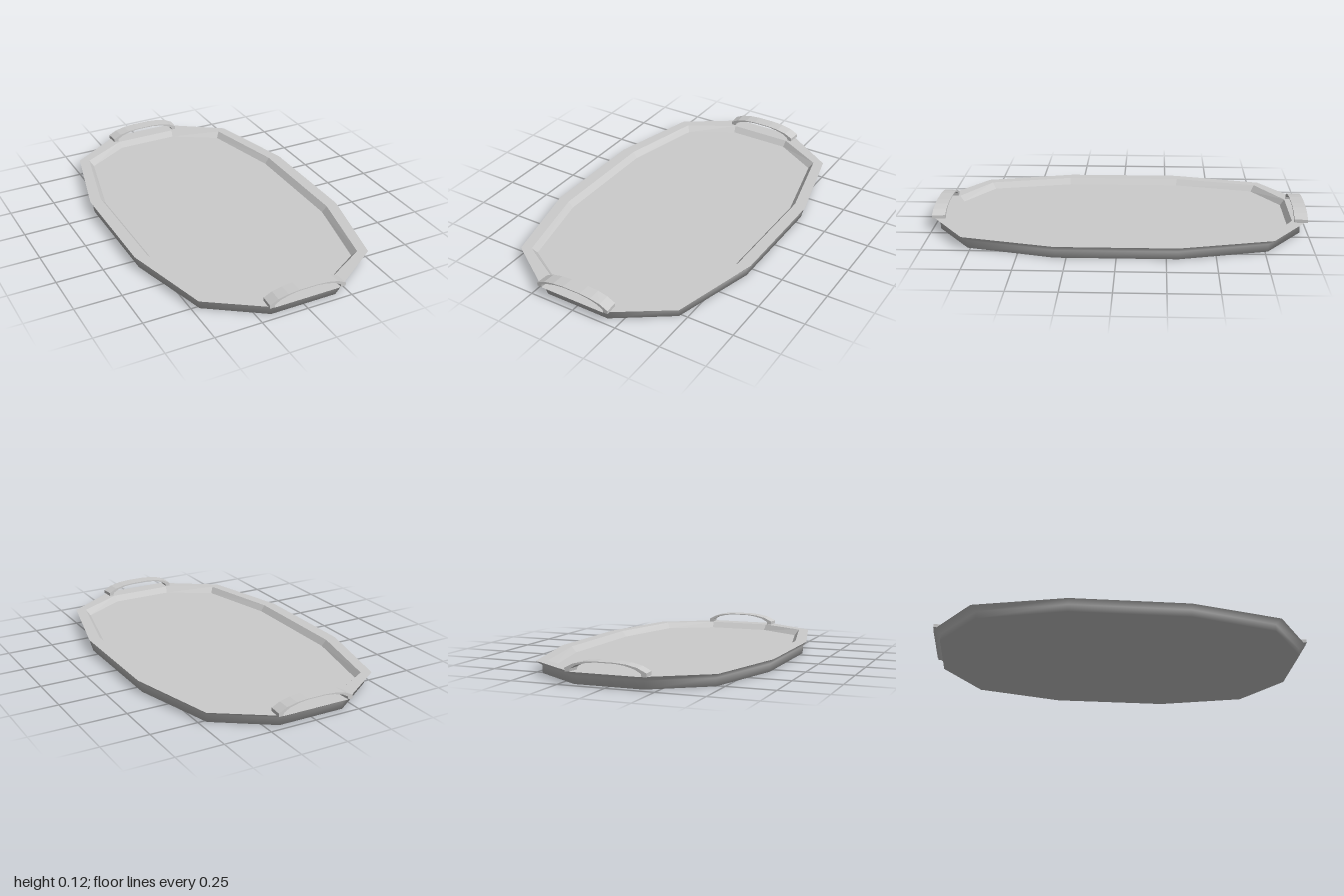
import * as THREE from 'three';

const material = new THREE.MeshStandardMaterial({ color: 0xcccccc, side: THREE.DoubleSide });

// Twelve-sided ring mirrored from three corners of one quadrant, at height y
function ring(y, [a, b, c]) {
  const quarter = [c, b, a];
  const half = [...quarter, ...[a, b, c].map(([x, z]) => [-x, z])];
  return [...half, ...half.map(([x, z]) => [-x, -z])].map(([x, z]) => [x, y, z]);
}

// Skin through a list of rings; one end is closed by a fan to the centre
function loft(rings, capFirst) {
  const n = rings[0].length;
  const positions = rings.flat(2);
  const index = [];
  for (let r = 0; r < rings.length - 1; r++) {
    for (let i = 0; i < n; i++) {
      const j = (i + 1) % n;
      const a = r * n + i, b = r * n + j, c = a + n, d = b + n;
      index.push(a, c, b, b, c, d);
    }
  }
  const centre = rings.length * n;
  const start = capFirst ? 0 : (rings.length - 1) * n;
  positions.push(0, rings[capFirst ? 0 : rings.length - 1][0][1], 0);
  for (let i = 0; i < n; i++) {
    const a = start + i, b = start + (i + 1) % n;
    if (capFirst) index.push(centre, a, b);
    else index.push(centre, b, a);
  }
  const g = new THREE.BufferGeometry();
  g.setAttribute('position', new THREE.Float32BufferAttribute(positions, 3));
  // Rings run from +x towards +z, so flip to face outward
  for (let i = 0; i < index.length; i += 3) [index[i + 1], index[i + 2]] = [index[i + 2], index[i + 1]];
  g.setIndex(index);
  return g;
}

function mesh(name, geometry) {
  const m = new THREE.Mesh(geometry, material);
  m.name = name;
  return m;
}

export function createModel() {
  const group = new THREE.Group();
  group.name = 'servingTray';

  const rim = [[0.18, 1.0], [0.48, 0.795], [0.6, 0.31]];
  const base = [[0.18, 0.96], [0.46, 0.765], [0.58, 0.31]];
  const innerRim = [[0.175, 0.918], [0.43, 0.77], [0.535, 0.32]];
  const floor = [[0.17, 0.895], [0.41, 0.75], [0.51, 0.315]];

  // Underside and flared wall, softly shaded
  const shell = loft([ring(0, base), ring(0.04, base), ring(0.065, rim)], true);
  // The winding is already consistent after the flip; averaged normals blend the bottom into the wall
  shell.computeVertexNormals();
  group.add(mesh('outerShell', shell));

  // Flat rim, sloped inner wall and floor with crisp facets
  const inside = loft([ring(0.065, rim), ring(0.065, innerRim), ring(0.033, floor)], false).toNonIndexed();
  inside.computeVertexNormals();
  group.add(mesh('rimAndFloor', inside));

  // Arched band handle, thick at the feet and thin at the crown
  const outer = [[0.21, 0.065], [0.21, 0.083], [0.165, 0.105], [0.11, 0.117], [0.05, 0.122]];
  const under = [[0.185, 0.065], [0.182, 0.08], [0.15, 0.098], [0.1, 0.111], [0.05, 0.117]];
  const mirror = (pts) => pts.map(([x, y]) => [-x, y]).reverse();
  const outline = [...outer, ...mirror(outer), ...mirror(under).reverse(), ...[...under].reverse()];
  const band = new THREE.ExtrudeGeometry(
    new THREE.Shape(outline.map(([x, y]) => new THREE.Vector2(x, y))),
    { depth: 0.07, bevelEnabled: false }
  );
  band.translate(0, 0, 0.928);
  // Narrow the band slightly towards the tray
  const p = band.attributes.position;
  for (let i = 0; i < p.count; i++) if (p.getZ(i) < 0.95) p.setX(i, p.getX(i) * 0.975);
  band.computeVertexNormals();

  for (const [name, turn] of [['frontHandle', 0], ['backHandle', Math.PI]]) {
    const handle = mesh(name, band);
    handle.rotation.y = turn;
    group.add(handle);
  }
  return group;
}
